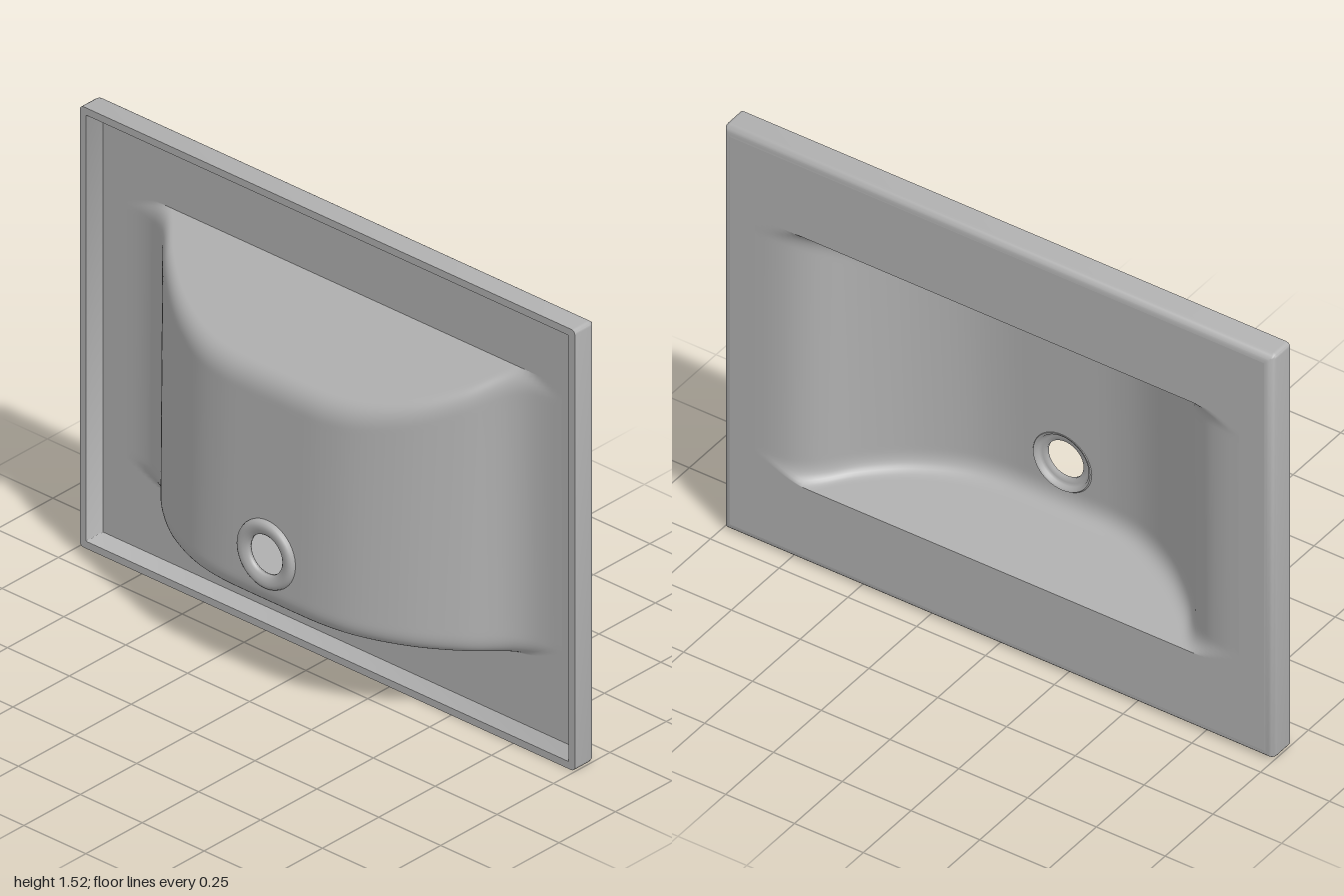
import * as THREE from 'three';
import { toCreasedNormals } from 'three/addons/utils/BufferGeometryUtils.js';

const HEIGHT = 1.52, HALF_W = 0.88, LOW = 0.265, HIGH = 1.25;
const FACE = -0.17, BACK = -0.19, DRAIN_Y = 0.475;

// Indexed strip surface from rows of points; skip(a, b, c, d) can drop cells
function surface(rows, { flip = false, closed = false, skip = () => false } = {}) {
  const n = rows[0].length, index = [];
  for (let i = 0; i < rows.length - 1; i++) {
    for (let j = 0; j < (closed ? n : n - 1); j++) {
      const a = i * n + j, b = a + n, k = (j + 1) % n;
      const d = i * n + k, c = d + n;
      if (skip(a, b, c, d)) continue;
      index.push(...(flip ? [a, c, b, a, d, c] : [a, b, c, a, c, d]));
    }
  }
  const g = new THREE.BufferGeometry();
  g.setAttribute('position', new THREE.Float32BufferAttribute(rows.flat(2), 3));
  g.setIndex(index);
  g.computeVertexNormals();
  return g;
}

// One bowl skin: a curved profile across x, closed by sloping top and bottom walls
function bowlSkin(inner) {
  const t = inner ? 0.02 : 0, z0 = inner ? BACK : FACE;
  const half = [[0.1, 0.167], [0.2, 0.164], [0.3, 0.148], [0.4, 0.112], [0.5, 0.058], [0.6, -0.02],
    [0.67, -0.095], [0.71, -0.13], [0.76, -0.155], [0.82, -0.167], [HALF_W, FACE]];
  const pts = [...half.map(([x, z]) => [-x, z]).reverse(), [0, 0.167], ...half];
  const curve = new THREE.SplineCurve(pts.map(([x, z]) => new THREE.Vector2(x, z - t)));
  const low = LOW + t, high = HIGH - t * 1.1;
  const yb = z => low + (z - z0) * 0.08;
  const yt = z => high - (z - z0) * 0.57;
  const inHole = [];

  const rows = curve.getSpacedPoints(100).map(({ x, y: h }) => {
    // half sections run from the wall foot, round the corner, to the floor
    const side = (wall, sign, r, drop) => {
      const out = [], foot = new THREE.Vector2(wall(z0), z0);
      const p0 = new THREE.Vector2(wall(h - drop), h - drop);
      const p1 = new THREE.Vector2(wall(h), h), p2 = new THREE.Vector2(wall(h) + sign * r, h);
      for (let k = 0; k < 6; k++) out.push(foot.clone().lerp(p0, k / 6));
      out.push(...new THREE.QuadraticBezierCurve(p0, p1, p2).getPoints(10));
      return out;
    };
    const bottom = side(yb, 1, 0.07, 0.065), top = side(yt, -1, 0.06, 0.045).reverse();
    const floor = [];
    for (let k = 1; k < 44; k++) floor.push(bottom[bottom.length - 1].clone().lerp(top[0], k / 44));
    return [...bottom, ...floor, ...top].map(p => {
      let px = x, y = THREE.MathUtils.clamp(p.x, low, high), z = Math.max(p.y, z0);
      z += (0.7 - y) * 0.025 * (z - z0) / 0.33;
      // round drain opening
      const dx = px, dy = y - DRAIN_Y, d = Math.hypot(dx, dy), R = 0.1;
      inHole.push(d < R);
      if (d < R && d > 1e-6) {
        px = dx / d * R;
        y = DRAIN_Y + dy / d * R;
      }
      return [px, y, z];
    });
  });
  return surface(rows, { flip: inner, skip: (...c) => c.every(i => inHole[i]) });
}

// Rounded rectangle ring of the slab, inset from its outer edge
function ring(inset, z) {
  const r = Math.max(0.015 - inset, 0.003), w = 1 - inset - r, h = HEIGHT / 2 - inset - r, out = [];
  [[1, 1], [-1, 1], [-1, -1], [1, -1]].forEach(([sx, sy], q) => {
    for (let k = 0; k <= 4; k++) {
      const a = (q + k / 4) * Math.PI / 2;
      out.push([sx * w + r * Math.cos(a), HEIGHT / 2 + sy * h + r * Math.sin(a), z]);
    }
  });
  return out;
}

// Flat slab face with the bowl opening cut out
function slabFace(inset, low, high) {
  const shape = new THREE.Shape(ring(inset, 0).map(([x, y]) => new THREE.Vector2(x, y)));
  shape.holes.push(new THREE.Path([[-HALF_W, low], [-HALF_W, high], [HALF_W, high], [HALF_W, low]]
    .map(([x, y]) => new THREE.Vector2(x, y))));
  return new THREE.ShapeGeometry(shape);
}

export function createModel() {
  const group = new THREE.Group();
  const ceramic = new THREE.MeshStandardMaterial({ color: 0xb0b0b0 });
  ceramic.name = 'grey ceramic';
  const add = (name, geometry) => {
    const mesh = new THREE.Mesh(geometry, ceramic);
    mesh.name = name;
    group.add(mesh);
    return mesh;
  };

  // Skirt around the slab, with a rounded rear edge
  const profile = [[0.025, FACE], [0.025, -0.095], [0, -0.095]];
  for (let k = 0; k <= 6; k++) {
    const a = k / 6 * Math.PI / 2;
    profile.push([0.03 * (1 - Math.cos(a)), BACK + 0.03 * (1 - Math.sin(a))]);
  }
  const skirt = surface(profile.map(([inset, z]) => ring(inset, z)), { closed: true });
  add('skirt', toCreasedNormals(skirt, 0.6));

  // Slab faces
  add('slabUnderside', slabFace(0.025, LOW, HIGH)).position.z = FACE;
  const rim = slabFace(0.03, LOW + 0.02, HIGH - 0.022);
  rim.rotateY(Math.PI);
  add('slabRim', rim).position.z = BACK;

  // Bowl skins
  add('bowlOutside', bowlSkin(false));
  add('bowlInside', bowlSkin(true));

  // Drain collar with a recessed seat on the inside
  const collar = [[0.104, 0.149], [0.115, 0.164], [0.115, 0.176], [0.112, 0.184], [0.105, 0.189],
    [0.096, 0.191], [0.084, 0.189], [0.074, 0.184], [0.067, 0.178], [0.067, 0.167],
    [0.083, 0.167], [0.092, 0.162], [0.096, 0.152], [0.104, 0.149]];
  const drain = new THREE.LatheGeometry(collar.map(([r, z]) => new THREE.Vector2(r, z)), 48);
  drain.rotateX(Math.PI / 2);
  add('drainCollar', drain).position.y = DRAIN_Y;

  return group;
}
